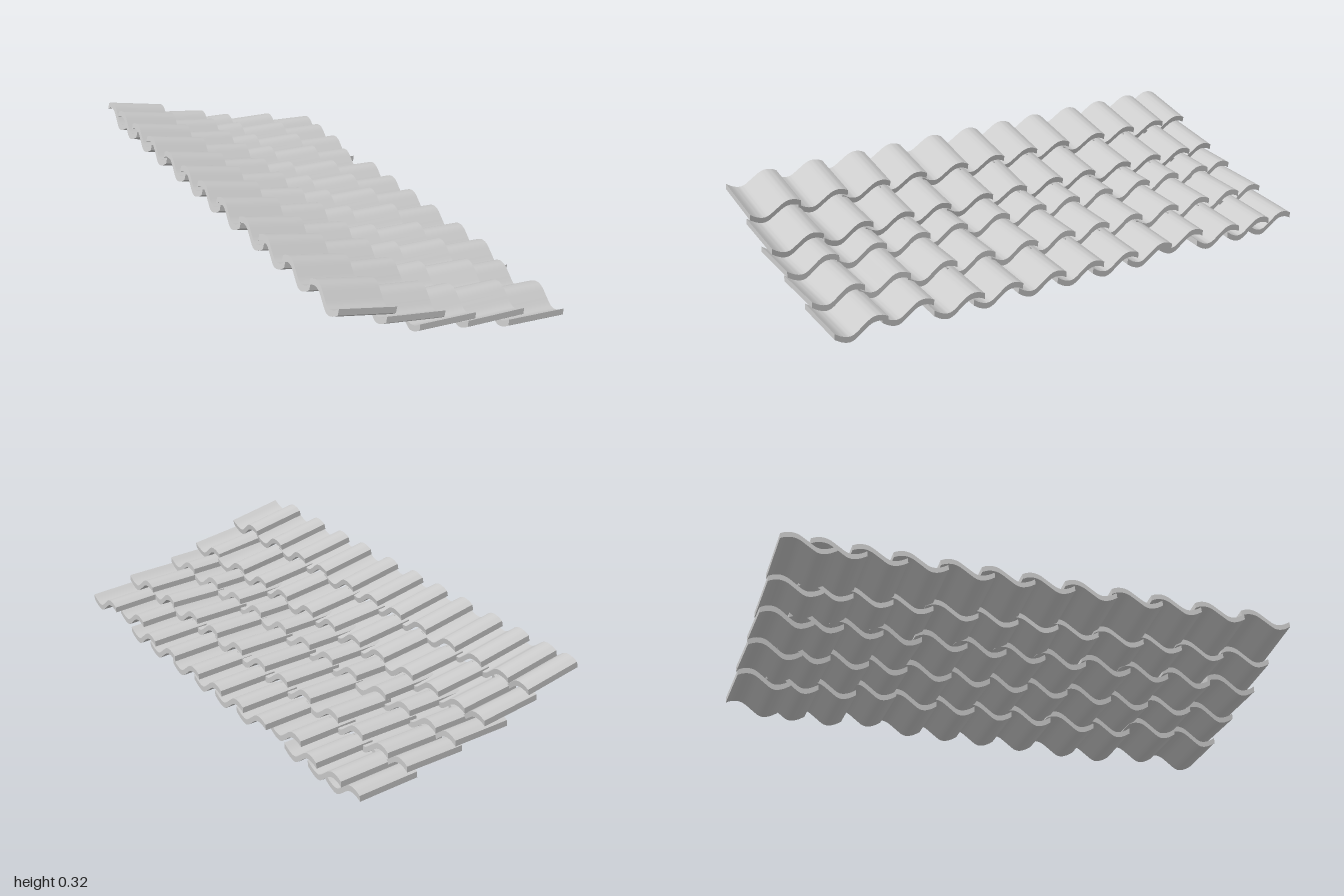
import * as THREE from 'three';
import { toCreasedNormals } from 'three/addons/utils/BufferGeometryUtils.js';

const THICK = 0.023;

// One S-shaped roof tile: crest at y = 0, running along +x, its width along +z
function tileGeometry(length) {
  const curve = new THREE.SplineCurve([
    [0, -0.014], [0.02, -0.004], [0.045, 0], [0.07, -0.007], [0.1, -0.029],
    [0.13, -0.051], [0.153, -0.055], [0.18, -0.046], [0.205, -0.03],
  ].map(([u, y]) => new THREE.Vector2(-u, y)));
  const top = curve.getPoints(28);
  const under = top.map((p) => new THREE.Vector2(p.x, p.y - THICK)).reverse();
  const geo = new THREE.ExtrudeGeometry(new THREE.Shape([...top, ...under]), {
    depth: length, bevelEnabled: false, steps: 1,
  });
  geo.rotateY(Math.PI / 2);
  return toCreasedNormals(geo, 0.6);
}

export function createModel() {
  const model = new THREE.Group();
  model.name = 'tiledRoof';
  const material = new THREE.MeshStandardMaterial({ color: 0xcccccc, side: THREE.DoubleSide });

  // Crest line of each course: upper end x, y and lower end x, y
  const courses = [
    [-0.458, 0.319, -0.237, 0.27],
    [-0.277, 0.242, -0.047, 0.205],
    [-0.15, 0.178, 0.075, 0.165],
    [0.045, 0.139, 0.277, 0.128],
    [0.235, 0.096, 0.47, 0.078],
  ];
  // Near edge of each tile column
  const columns = [-1, -0.89, -0.74, -0.588, -0.412, -0.255, -0.098, 0.07, 0.257, 0.418, 0.6, 0.795];
  // Slipped tiles on the lowest course, and slightly twisted tiles
  const slip = { 3: -0.035, 10: -0.043, 11: -0.018 };
  const twist = { '1,6': -0.05, '1,10': 0.04, '3,10': -0.05, '2,3': 0.03 };

  courses.forEach(([x0, y0, x1, y1], r) => {
    const course = new THREE.Group();
    course.name = `tileCourse${r + 1}`;
    const geo = tileGeometry(Math.hypot(x1 - x0, y1 - y0));
    const slope = Math.atan2(y1 - y0, x1 - x0);
    columns.forEach((z, c) => {
      const tile = new THREE.Mesh(geo, material);
      tile.name = `roofTile${c + 1}`;
      const dx = r === 4 ? slip[c] || 0 : 0;
      tile.position.set(x0 + dx, y0 - dx * 0.08, z);
      tile.rotation.set(0, twist[`${r},${c}`] || 0, slope);
      course.add(tile);
    });
    model.add(course);
  });
  return model;
}
